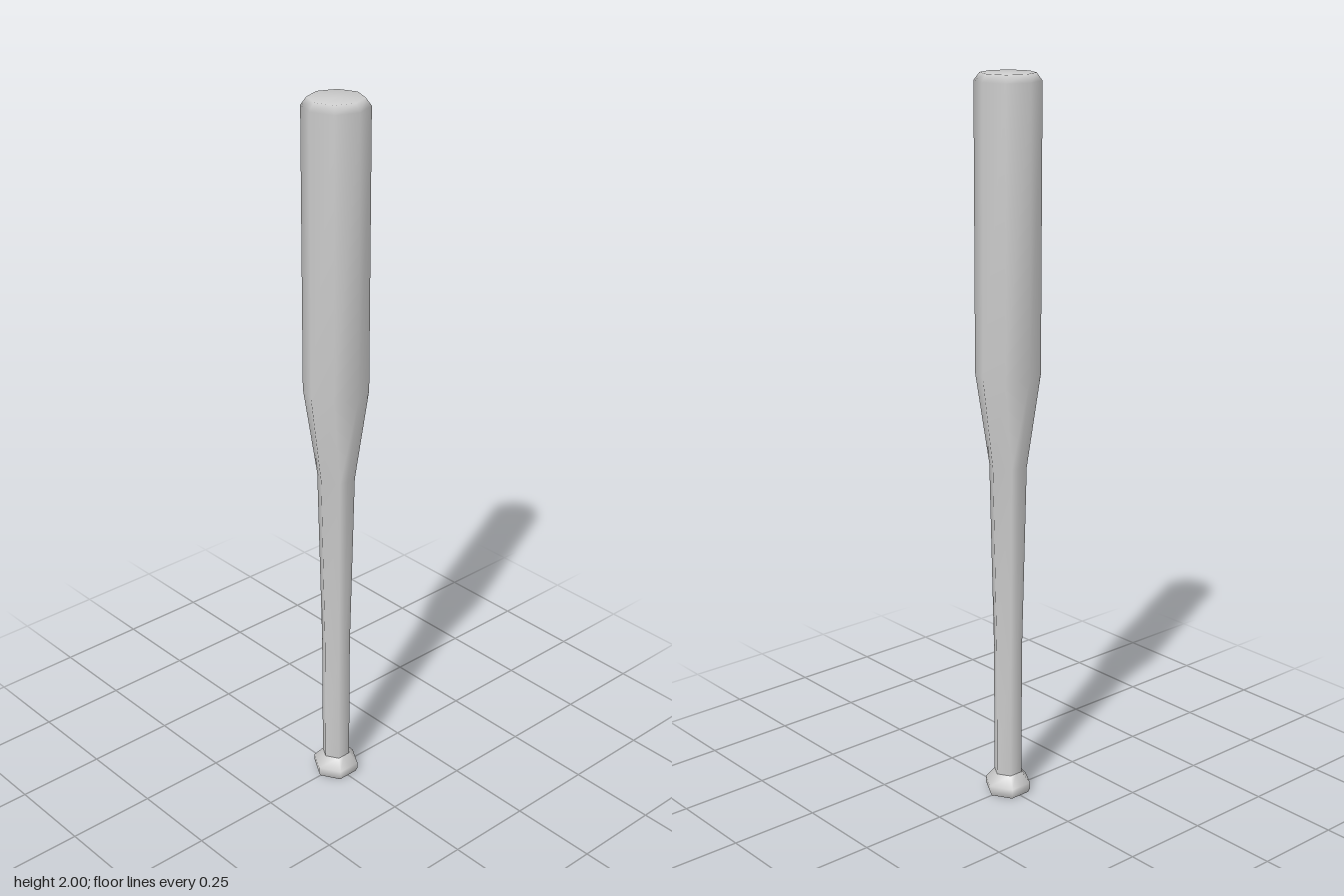
import * as THREE from 'three';

const SIDES = 8;

// Octagonal ring with corners on the axes. A hexagonal ring keeps corners on z,
// moves the diagonals to 30 degrees and puts the x slots midway along its flat sides.
function ringPoint(i, radius, hex) {
  let angle = (i * Math.PI) / 4;
  let r = radius;
  if (hex) {
    if (i % 4 === 0) r *= Math.cos(Math.PI / 6);
    else if (i % 2 === 1) {
      const x = Math.sign(Math.cos(angle)), z = Math.sign(Math.sin(angle));
      return [x * r * Math.cos(Math.PI / 6), z * r * 0.5];
    }
  }
  return [r * Math.cos(angle), r * Math.sin(angle)];
}

// Smooth skin through rings [radius, y, hex] from bottom to top, with optional end caps
function skin(name, rings, { top = false, bottom = false } = {}) {
  const pos = [], index = [];
  for (const [r, y, hex] of rings) {
    for (let i = 0; i < SIDES; i++) {
      const [x, z] = ringPoint(i, r, hex);
      pos.push(x, y, z);
    }
  }
  for (let k = 0; k < rings.length - 1; k++) {
    for (let i = 0; i < SIDES; i++) {
      const j = (i + 1) % SIDES;
      const a = k * SIDES + i, b = k * SIDES + j;
      const c = a + SIDES, d = b + SIDES;
      index.push(a, c, b, b, c, d);
    }
  }
  const cap = (ring, up) => {
    const centre = pos.length / 3;
    pos.push(0, rings[ring][1], 0);
    for (let i = 0; i < SIDES; i++) {
      const a = ring * SIDES + i, b = ring * SIDES + ((i + 1) % SIDES);
      if (up) index.push(centre, b, a);
      else index.push(centre, a, b);
    }
  };
  if (top) cap(rings.length - 1, true);
  if (bottom) cap(0, false);

  const geometry = new THREE.BufferGeometry();
  geometry.setAttribute('position', new THREE.Float32BufferAttribute(pos, 3));
  geometry.setIndex(index);
  geometry.computeVertexNormals();
  const mesh = new THREE.Mesh(geometry, new THREE.MeshStandardMaterial({ color: 0xcccccc }));
  mesh.name = name;
  return mesh;
}

export function createModel() {
  const group = new THREE.Group();
  group.name = 'bat';

  // Hexagonal handle flaring into the octagonal barrel with a bevelled end
  group.add(skin('handleAndBarrel', [
    [0.04, 0.06, true],
    [0.041, 0.44, true],
    [0.053, 0.965, true],
    [0.087, 1.22, false],
    [0.087, 1.98, false],
    [0.072, 2, false],
  ], { top: true }));

  // Flared hexagonal knob
  group.add(skin('knob', [
    [0.06, 0, true],
    [0.066, 0.012, true],
    [0.066, 0.03, true],
    [0.04, 0.06, true],
  ]));

  // Flat underside of the knob
  group.add(skin('knobBase', [[0.06, 0, true]], { bottom: true }));

  return group;
}
